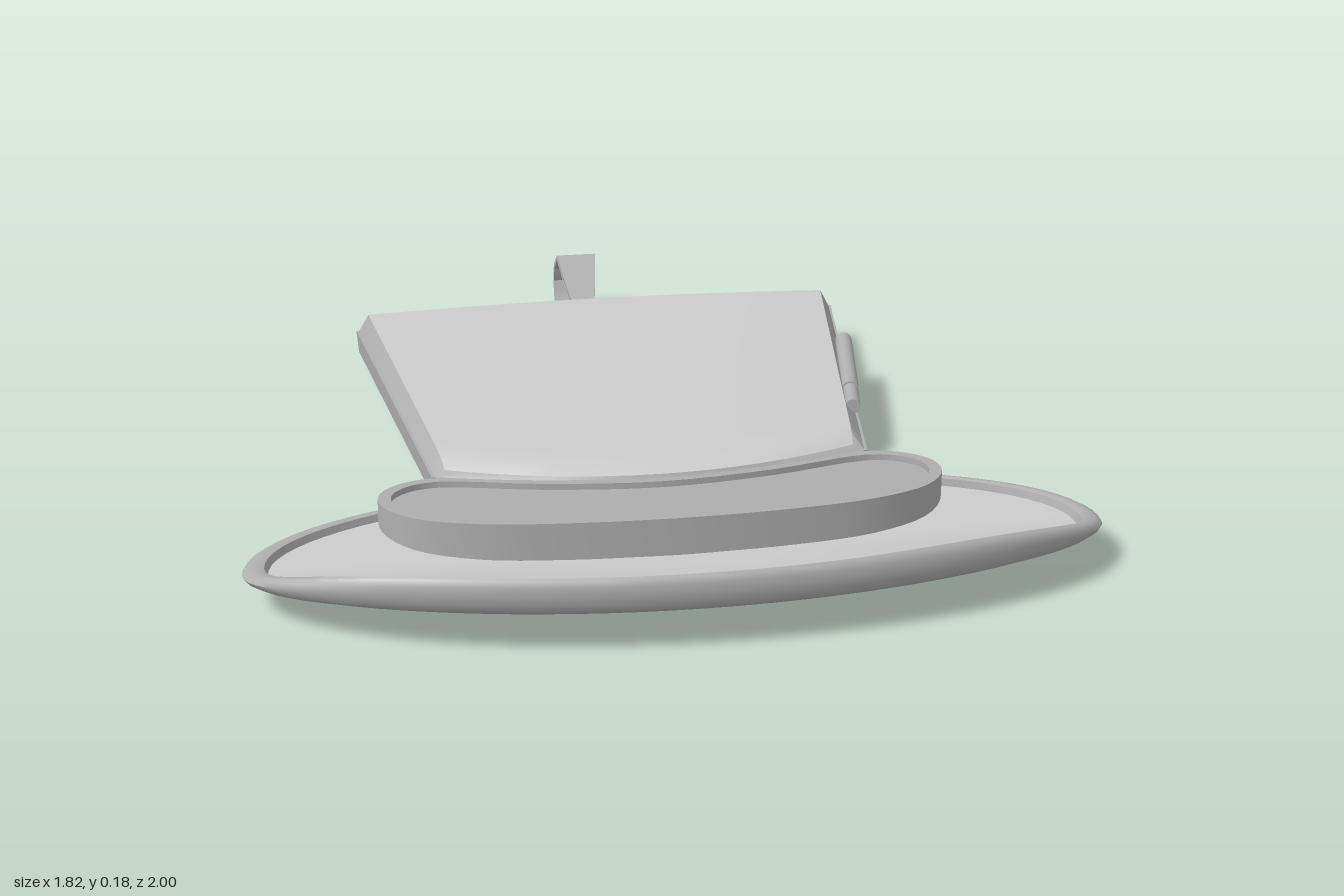
import * as THREE from 'three';
import { toCreasedNormals } from 'three/addons/utils/BufferGeometryUtils.js';

const { lerp, smoothstep } = THREE.MathUtils;

// Move every vertex by a rule, then rebuild normals with sharp edges kept
function warp(geometry, rule, crease = 0.6) {
  const pos = geometry.attributes.position;
  const p = new THREE.Vector3();
  for (let i = 0; i < pos.count; i++) {
    rule(p.fromBufferAttribute(pos, i));
    pos.setXYZ(i, p.x, p.y, p.z);
  }
  return toCreasedNormals(geometry, crease);
}

// Inset a counter-clockwise outline by d
function inset(points, d) {
  return points.map((p, i) => {
    const n = points.length;
    const t = points[(i + 1) % n].clone().sub(points[(i + n - 1) % n]).normalize();
    return new THREE.Vector2(p.x - t.y * d, p.y + t.x * d);
  });
}

function extrude(outline, hole, depth) {
  const shape = new THREE.Shape(outline);
  if (hole) shape.holes.push(new THREE.Path(hole));
  return new THREE.ExtrudeGeometry(shape, { depth, bevelEnabled: false });
}

export function createModel() {
  const group = new THREE.Group();
  const metal = new THREE.MeshStandardMaterial({ color: 0xb0b0b0 });
  metal.name = 'silver';
  const light = new THREE.MeshStandardMaterial({ color: 0xcccccc });
  light.name = 'polished silver';

  const add = (name, geometry, material = metal) => {
    const mesh = new THREE.Mesh(geometry, material);
    mesh.name = name;
    group.add(mesh);
    return mesh;
  };
  const v2 = (list) => list.map(([x, y]) => new THREE.Vector2(x, y));

  // Brim: elliptical dish whose front edge rolls upward
  const rimTop = (z) => 0.088 + 0.087 * smoothstep(z, 0.62, 0.96);
  const rimBottom = (z) => 0.048 + 0.05 * smoothstep(z, 0.5, 1);
  const place = (p) => {
    const s = Math.hypot(p.x, p.z), a = Math.atan2(p.z, p.x);
    p.x *= 0.91;
    p.z = 0.64 + 0.355 * p.z;
    return { s, edgeZ: 0.64 + 0.355 * Math.sin(a) };
  };
  // profile: radius fraction, then height fraction between underside and rim top
  const rim = v2([[0.001, 0], [0.25, 0], [0.5, 0], [0.7, 0], [0.85, 0], [0.94, 0.02], [0.975, 0.1],
    [0.993, 0.3], [1, 0.55], [0.995, 0.78], [0.983, 0.94], [0.965, 1], [0.95, 0.92], [0.942, 0.4]]);
  add('brimRim', warp(new THREE.LatheGeometry(rim, 80), (p) => {
    const h = p.y, { s, edgeZ } = place(p);
    const low = 0.036 + (rimBottom(edgeZ) - 0.036) * s * s;
    p.y = lerp(low, rimTop(edgeZ), h);
  }, 0.8));
  const dish = v2([[0.95, 0], [0.85, 0], [0.7, 0], [0.5, 0], [0.25, 0], [0.001, 0]]);
  add('brimDish', warp(new THREE.LatheGeometry(dish, 80), (p) => {
    const { s, edgeZ } = place(p);
    p.y = 0.068 + (rimTop(edgeZ) - 0.088) * s * s;
  }), light);

  // Hat band: curved wall with a recessed floor (outline uses y = -z)
  const half = [[0.25, -0.66], [0.42, -0.628], [0.55, -0.56], [0.61, -0.46], [0.605, -0.37],
    [0.55, -0.305], [0.47, -0.285], [0.24, -0.352]];
  const loop = [[0, -0.675], ...half, [0, -0.385], ...half.map(([x, y]) => [-x, y]).reverse()];
  const curve = new THREE.CatmullRomCurve3(loop.map(([x, y]) => new THREE.Vector3(x, y, 0)), true);
  const outer = curve.getPoints(72).slice(0, -1).map((p) => new THREE.Vector2(p.x, p.y));
  const inner = inset(outer, 0.028);
  const bandTop = (z) => 0.155 - (0.68 - z) * 0.12;
  const bandPart = (name, geometry, drop) => add(name, warp(geometry.rotateX(-Math.PI / 2), (p) => {
    p.y = p.y > 0.5 ? bandTop(p.z) - drop : 0.05;
  }));
  bandPart('bandWall', extrude(outer, inner, 1), 0);
  bandPart('bandFloor', extrude(inset(outer, 0.014), null, 1), 0.014);

  // Crown slabs: tapered plates with a bowed front edge
  const slab = (rule) => warp(new THREE.BoxGeometry(2, 1, 1, 16, 1, 24), (p) => {
    const u = p.x, v = p.z + 0.5, top = p.y > 0;
    const { margin, y } = rule(u, v, top);
    const zBack = -0.655 + 0.01 * u * u + margin * 0.4;
    const zFront = 0.39 - 0.11 * u * u - margin * 0.4;
    p.set(0.012 * (1 - v) + u * (lerp(0.6, 0.487, v) - margin), y, lerp(zBack, zFront, v));
  }, 0.5);
  add('crownBack', slab((u, v, top) => ({ margin: top ? 0 : 0.004, y: top ? 0.108 : 0.055 })));
  add('crownLid', slab((u, v, top) => ({
    margin: top ? 0.03 : 0.005,
    y: top ? 0.134 + 0.02 * (1 - v) + 0.007 * (1 - u * u) - 0.016 * smoothstep(v, 0.94, 1) : 0.107,
  })), [metal, metal, light, metal, metal, metal]);

  // Hinge knuckles along the right-hand edge of the top plan
  const hingeX = (z) => lerp(0.575, 0.5, (z + 0.34) / 0.42);
  for (const [z0, z1, r] of [[-0.34, -0.025, 0.02], [-0.02, 0.08, 0.018]]) {
    const a = new THREE.Vector3(hingeX(z0), 0.13, z0), b = new THREE.Vector3(hingeX(z1), 0.13, z1);
    const knuckle = add('hingeKnuckle', new THREE.CylinderGeometry(r, r, a.distanceTo(b), 20));
    knuckle.position.copy(a).lerp(b, 0.5);
    knuckle.quaternion.setFromUnitVectors(new THREE.Vector3(0, 1, 0), b.sub(a).normalize());
  }

  // Hanging ring
  const ring = add('ring', new THREE.TorusGeometry(0.087, 0.018, 14, 40));
  ring.rotation.x = Math.PI / 2;
  ring.position.set(0, 0.083, -0.72);

  // Bail: folded strap that widens toward the far end (outline uses x = -z)
  const strap = v2([[0.75, 0.083], [0.81, 0.066], [0.94, 0.003], [0.985, 0.05], [1, 0.09],
    [0.985, 0.135], [0.925, 0.18], [0.81, 0.108]]);
  // extra points let the strap change width along its sides
  const fine = strap.flatMap((p, i) => [p, p.clone().lerp(strap[(i + 1) % strap.length], 0.5)]);
  const bail = extrude(fine, inset(fine, 0.013), 1).rotateY(Math.PI / 2);
  add('bail', warp(bail, (p) => {
    const width = lerp(0.022, 0.05, THREE.MathUtils.clamp((-p.z - 0.75) / 0.17, 0, 1));
    p.x = p.x > 0.5 ? width : -width;
  }));

  return group;
}
